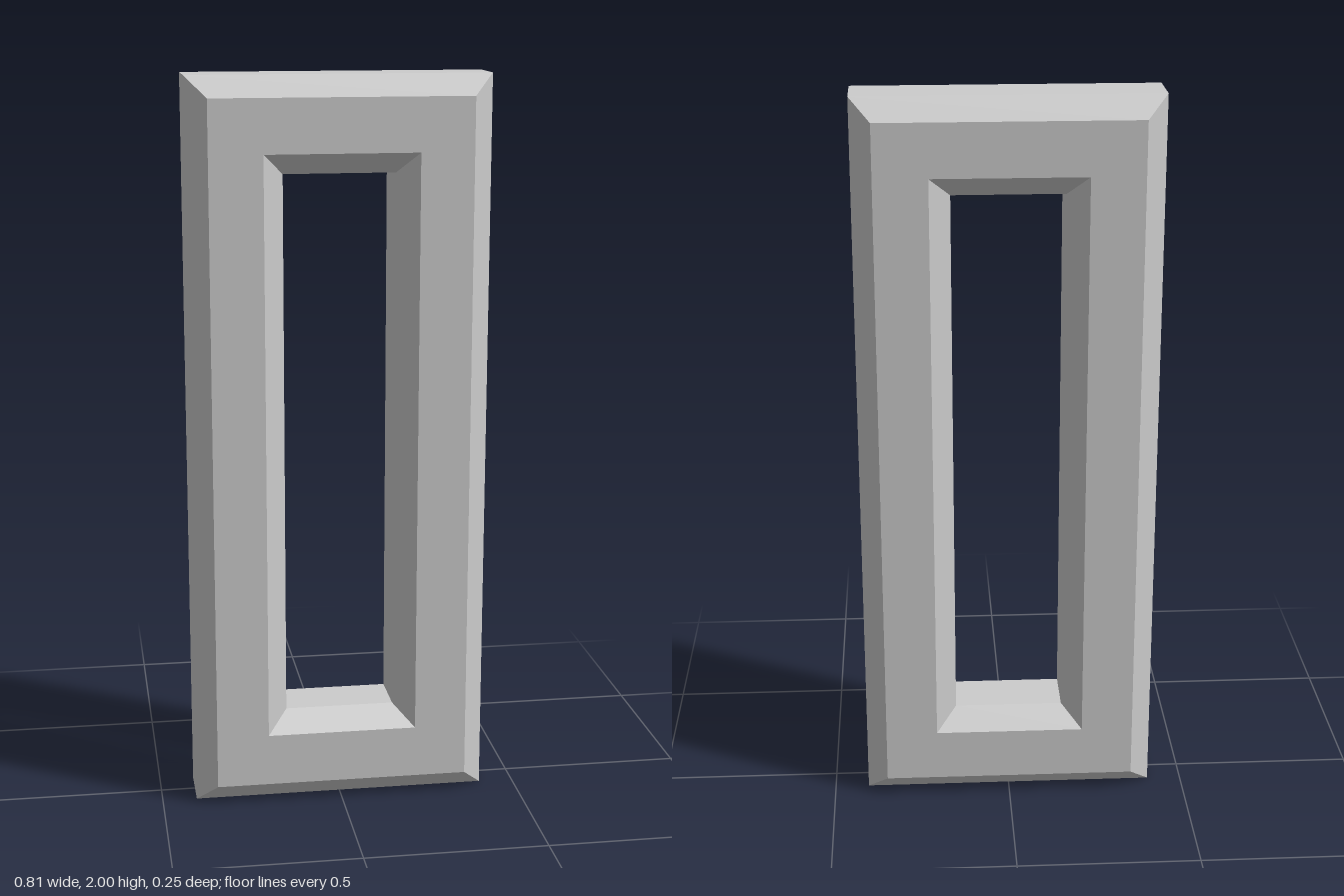
import * as THREE from 'three';

const BEVEL = 0.056;     // 45 degree chamfer on every long edge
const HALF_DEPTH = 0.127;

// Closed rectangle, centred on x = 0
function rectangle(path, halfWidth, bottom, top) {
  path.moveTo(-halfWidth, bottom);
  path.lineTo(halfWidth, bottom);
  path.lineTo(halfWidth, top);
  path.lineTo(-halfWidth, top);
  path.closePath();
  return path;
}

export function createModel() {
  const group = new THREE.Group();
  group.name = 'rectangularLink';

  const grey = new THREE.MeshStandardMaterial({ color: 0xcccccc });
  grey.name = 'light grey';

  // Flat front outline; the bevel grows the sides out and the opening in
  const outline = rectangle(new THREE.Shape(), 0.405 - BEVEL, BEVEL, 2 - BEVEL);
  outline.holes.push(rectangle(new THREE.Path(), 0.206, 0.2, 1.8));

  const depth = 2 * (HALF_DEPTH - BEVEL);
  const geometry = new THREE.ExtrudeGeometry(outline, {
    depth,
    bevelEnabled: true,
    bevelSize: BEVEL,
    bevelThickness: BEVEL,
    bevelSegments: 1,
  });
  geometry.translate(0, 0, -depth / 2);

  const frame = new THREE.Mesh(geometry, grey);
  frame.name = 'chamferedFrame';
  group.add(frame);
  return group;
}
